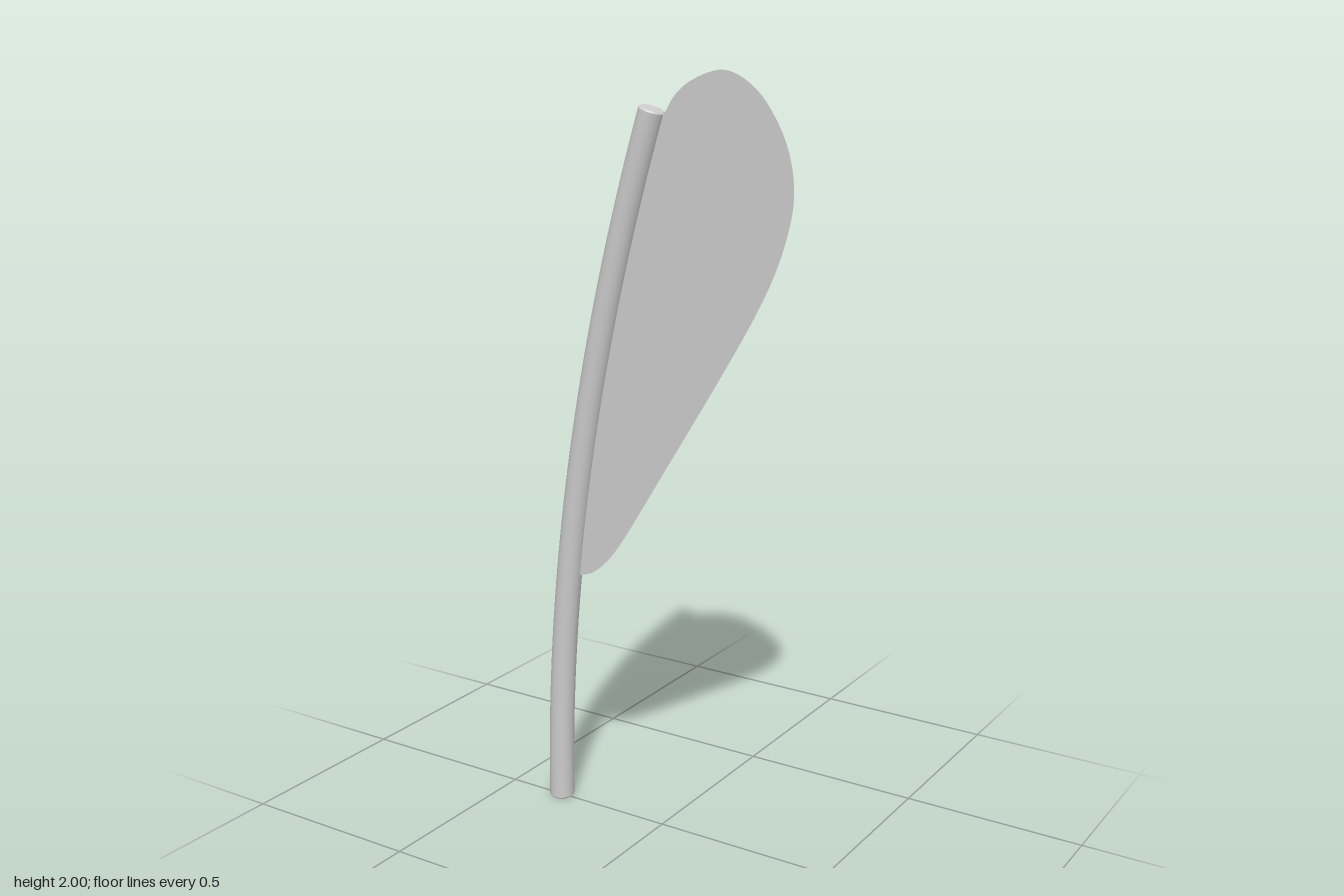
import * as THREE from 'three';

const RADIUS = 0.034;
const BEVEL = 0.004;

export function createModel() {
  const model = new THREE.Group();
  const material = new THREE.MeshStandardMaterial({ color: 0xcccccc });
  const leafMaterial = new THREE.MeshStandardMaterial({ color: 0xcccccc, side: THREE.DoubleSide });

  const add = (geometry, mat, name) => {
    const mesh = new THREE.Mesh(geometry, mat);
    mesh.name = name;
    model.add(mesh);
    return mesh;
  };

  // Stem: upright at the base, leaning to +x towards the tip
  const curve = new THREE.QuadraticBezierCurve3(
    new THREE.Vector3(-0.334, BEVEL, 0),
    new THREE.Vector3(-0.334, 0.95, 0),
    new THREE.Vector3(-0.03, 1.9, 0)
  );
  add(new THREE.TubeGeometry(curve, 40, RADIUS, 20, false), material, 'stem');

  // Closed, slightly bevelled stem ends
  const up = new THREE.Vector3(0, 1, 0);
  for (const [t, sign, name] of [[0, -1, 'stemBase'], [1, 1, 'stemTip']]) {
    const geometry = new THREE.CylinderGeometry(RADIUS - BEVEL, RADIUS, BEVEL, 20);
    geometry.translate(0, BEVEL / 2, 0);
    const cap = add(geometry, material, name);
    cap.position.copy(curve.getPoint(t));
    cap.quaternion.setFromUnitVectors(up, curve.getTangent(t).multiplyScalar(sign));
  }

  // Leaf: flat teardrop blade, its inner edge running along the stem's centre line
  const outline = new THREE.SplineCurve([
    [-0.29, 0.665], [-0.255, 0.668], [-0.204, 0.693], [-0.135, 0.77], [-0.003, 0.98],
    [0.204, 1.317], [0.304, 1.5], [0.352, 1.635], [0.364, 1.735], [0.342, 1.836],
    [0.288, 1.928], [0.228, 1.98], [0.163, 2.0], [0.085, 1.975], [0.036, 1.938],
    [0.002, 1.888], [-0.03, 1.86]
  ].map(([x, y]) => new THREE.Vector2(x, y)));
  const points = outline.getPoints(64);
  for (let i = 0; i <= 20; i++) {
    const p = curve.getPoint(0.97 - (0.97 - 0.36) * (i / 20));
    points.push(new THREE.Vector2(p.x, p.y));
  }
  add(new THREE.ShapeGeometry(new THREE.Shape(points)), leafMaterial, 'leaf');

  return model;
}
